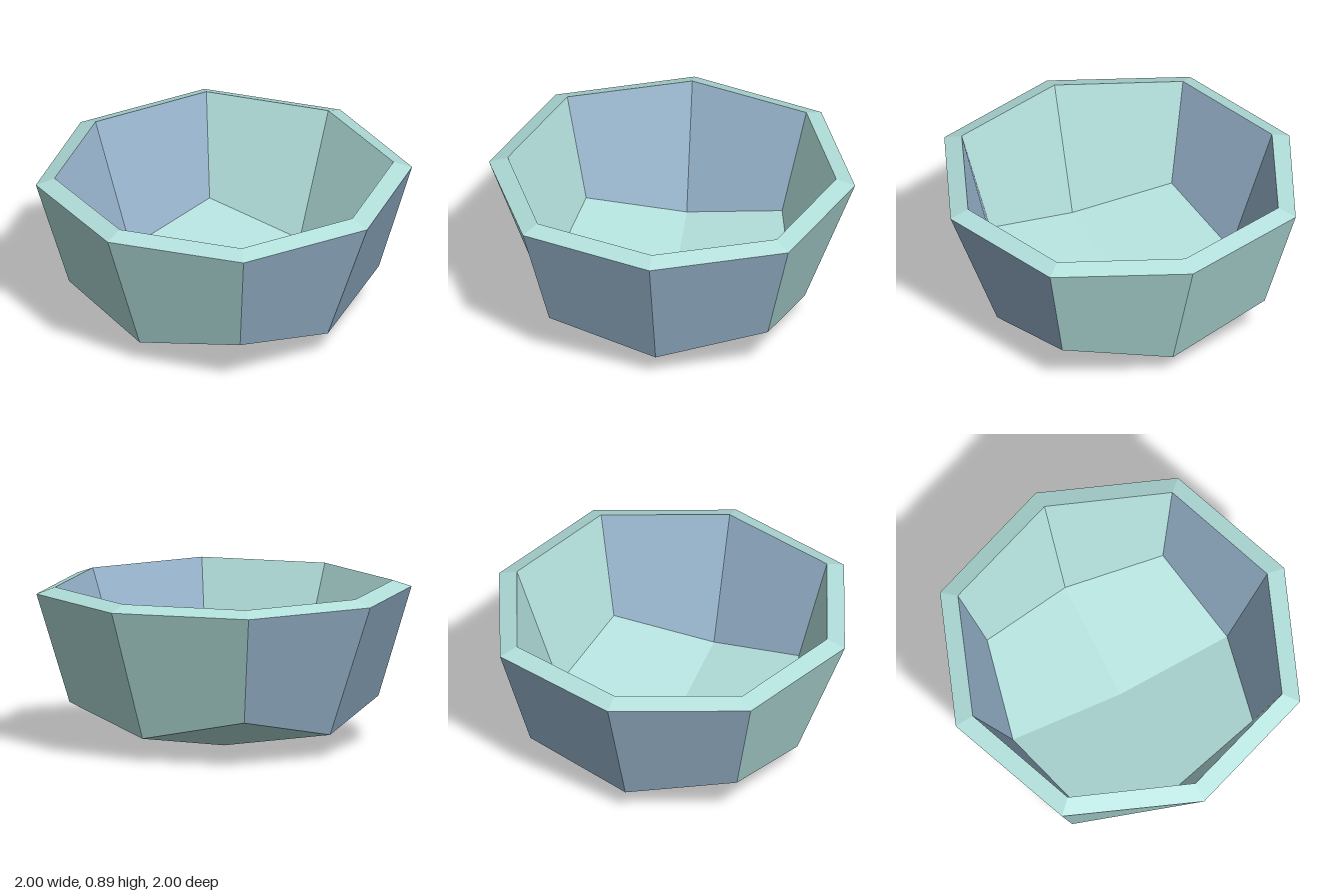
import * as THREE from 'three';

const teal = new THREE.MeshStandardMaterial({ color: 0xb2dfdb });
teal.name = 'pale teal';
const blue = new THREE.MeshStandardMaterial({ color: 0x98b5cd });
blue.name = 'soft blue';

// Eight-sided ring: even corners lie on the axes, odd corners on the diagonals.
function ring(axis, axisY, diagonal, diagonalY) {
  return Array.from({ length: 8 }, (_, i) => {
    const a = (i * Math.PI) / 4;
    const r = i % 2 ? diagonal * Math.SQRT2 : axis;
    return new THREE.Vector3(r * Math.cos(a), i % 2 ? diagonalY : axisY, r * Math.sin(a));
  });
}

// Mesh of four-cornered facets, each with one flat normal.
function facetMesh(name, quads, material) {
  const positions = [], normals = [];
  for (const [a, b, c, d] of quads) {
    const n = c.clone().sub(a).cross(d.clone().sub(b)).normalize();
    for (const p of [a, b, c, a, c, d]) {
      positions.push(p.x, p.y, p.z);
      normals.push(n.x, n.y, n.z);
    }
  }
  const geometry = new THREE.BufferGeometry();
  geometry.setAttribute('position', new THREE.Float32BufferAttribute(positions, 3));
  geometry.setAttribute('normal', new THREE.Float32BufferAttribute(normals, 3));
  const mesh = new THREE.Mesh(geometry, material);
  mesh.name = name;
  return mesh;
}

// Facets joining an upper ring to a lower ring, facing outward.
const band = (top, low) => top.map((p, i) => [p, top[(i + 1) % 8], low[(i + 1) % 8], low[i]]);

// Four facets meeting at a centre point, facing downward.
function base(low, y) {
  const centre = new THREE.Vector3(0, y, 0);
  return [0, 2, 4, 6].map((i) => [centre, low[i], low[i + 1], low[(i + 2) % 8]]);
}

const flip = (quads) => quads.map((q) => [...q].reverse());

// Side walls (facing x) are blue, front and back walls (facing z) are teal.
const facesX = (_, i) => [0, 3, 4, 7].includes(i);
const facesZ = (q, i) => !facesX(q, i);

export function createModel() {
  const bowl = new THREE.Group();
  bowl.name = 'bowl';

  const outerRim = ring(1, 0.852, 0.725, 0.852);
  const outerLow = ring(0.725, 0.128, 0.597, 0.256);
  const innerRim = ring(0.897, 0.888, 0.653, 0.888);
  const innerLow = ring(0.652, 0.203, 0.535, 0.325);

  // Outer shell
  const outer = band(outerRim, outerLow);
  bowl.add(facetMesh('outerSideWalls', outer.filter(facesX), blue));
  bowl.add(facetMesh('outerFrontAndBackWalls', outer.filter(facesZ), teal));
  bowl.add(facetMesh('underside', base(outerLow, 0), teal));

  // Inner shell
  const inner = flip(band(innerRim, innerLow));
  bowl.add(facetMesh('innerSideWalls', inner.filter(facesX), blue));
  bowl.add(facetMesh('innerFrontAndBackWalls', inner.filter(facesZ), teal));
  bowl.add(facetMesh('floor', flip(base(innerLow, 0.103)), teal));

  // Bevelled rim
  bowl.add(facetMesh('rim', band(innerRim, outerRim), teal));

  return bowl;
}
